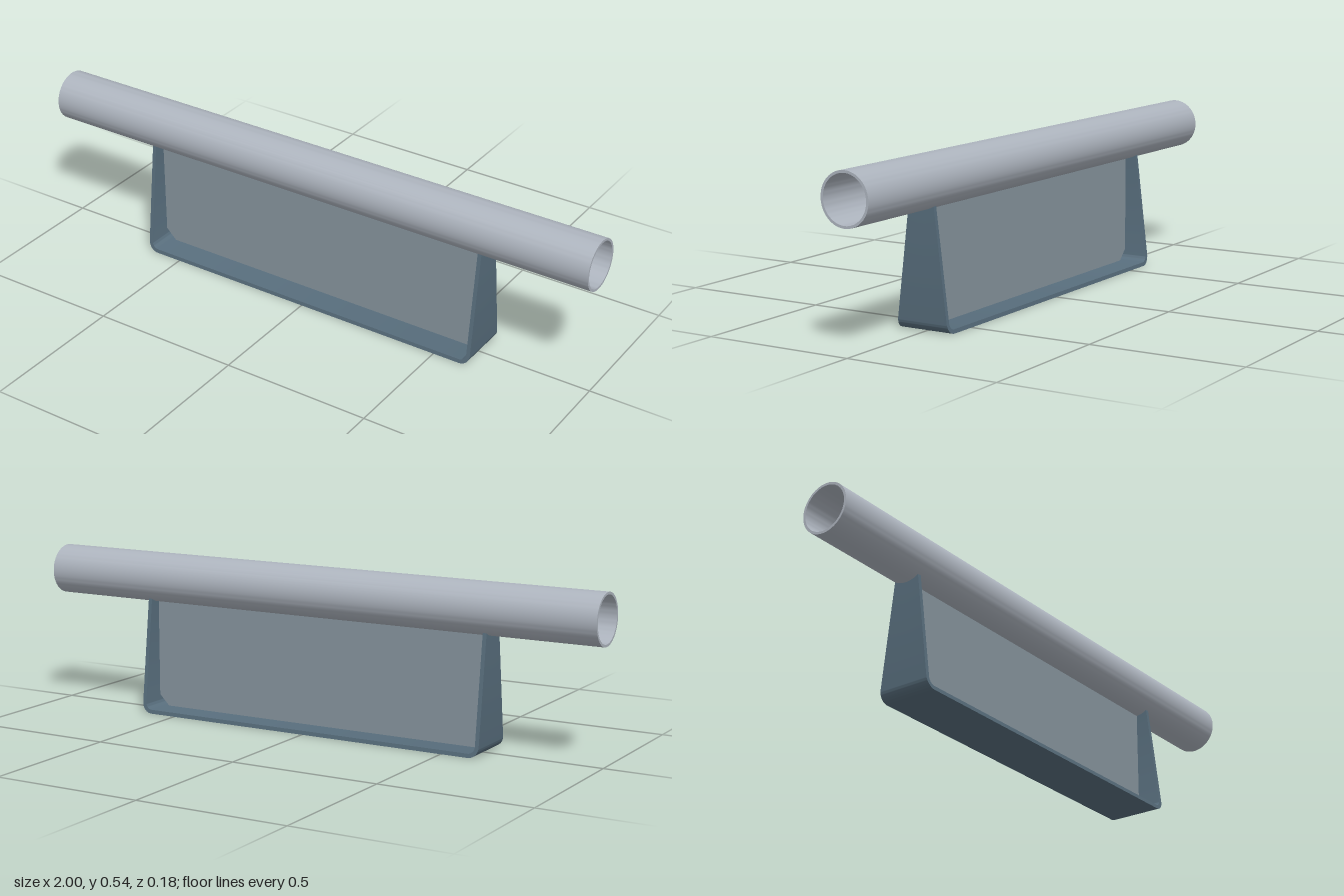
import * as THREE from 'three';
import { toCreasedNormals } from 'three/addons/utils/BufferGeometryUtils.js';

const PIPE_Y = 0.454, PIPE_R = 0.083, PIPE_BORE = 0.075;
const HALF = 0.628, THICK = 0.013, CORNER = 0.036; // strap outer half length, gauge, bend radius
const TOP = 0.385, BASE_W = 0.092, TOP_W = 0.045;  // strap height and half widths

function part(name, geometry, color) {
  const mesh = new THREE.Mesh(toCreasedNormals(geometry, 0.5), new THREE.MeshStandardMaterial({ color }));
  mesh.name = name;
  return mesh;
}

// Hollow tube lying along x
function pipe() {
  const profile = [[PIPE_R, -1], [PIPE_R, 1], [PIPE_BORE, 1], [PIPE_BORE, -1], [PIPE_R, -1]]
    .map(([r, y]) => new THREE.Vector2(r, y));
  const g = new THREE.LatheGeometry(profile, 64).rotateZ(Math.PI / 2).translate(0, PIPE_Y, 0);
  return part('pipe', g, 0xadb4be);
}

// Bent U strap: extruded along z, tapered upward, with ends coped to the pipe
function strap() {
  const inner = HALF - THICK, r = CORNER - THICK;
  const s = new THREE.Shape();
  s.moveTo(-HALF, TOP);
  s.lineTo(-HALF, CORNER);
  s.absarc(-HALF + CORNER, CORNER, CORNER, Math.PI, Math.PI * 1.5, false);
  s.lineTo(HALF - CORNER, 0);
  s.absarc(HALF - CORNER, CORNER, CORNER, -Math.PI / 2, 0, false);
  s.lineTo(HALF, TOP);
  s.lineTo(inner, TOP);
  s.lineTo(inner, CORNER);
  s.absarc(inner - r, CORNER, r, 0, -Math.PI / 2, true);
  s.lineTo(-inner + r, THICK);
  s.absarc(-inner + r, CORNER, r, -Math.PI / 2, -Math.PI, true);
  s.lineTo(-inner, TOP);
  s.closePath();
  const g = new THREE.ExtrudeGeometry(s, { depth: 2, steps: 16, bevelEnabled: false, curveSegments: 10 });
  const p = g.attributes.position;
  for (let i = 0; i < p.count; i++) {
    const y = p.getY(i);
    const z = (p.getZ(i) - 1) * THREE.MathUtils.lerp(BASE_W, TOP_W, y / TOP);
    p.setZ(i, z);
    if (y > TOP - 0.001) p.setY(i, PIPE_Y - Math.sqrt(PIPE_R ** 2 - z ** 2));
  }
  return part('strap', g, 0x586e7d);
}

// Central web plate with clipped lower corners
function web() {
  const x = HALF - THICK, clip = 0.036, top = PIPE_Y - PIPE_R + 0.003, depth = 0.012;
  const s = new THREE.Shape([
    [-x, top], [-x, THICK + clip], [-x + clip, THICK],
    [x - clip, THICK], [x, THICK + clip], [x, top],
  ].map(([a, b]) => new THREE.Vector2(a, b)));
  const g = new THREE.ExtrudeGeometry(s, { depth, bevelEnabled: false }).translate(0, 0, -depth / 2);
  return part('webPlate', g, 0x87959e);
}

export function createModel() {
  const group = new THREE.Group();
  group.name = 'pipeSupport';
  group.add(pipe(), strap(), web());
  return group;
}
